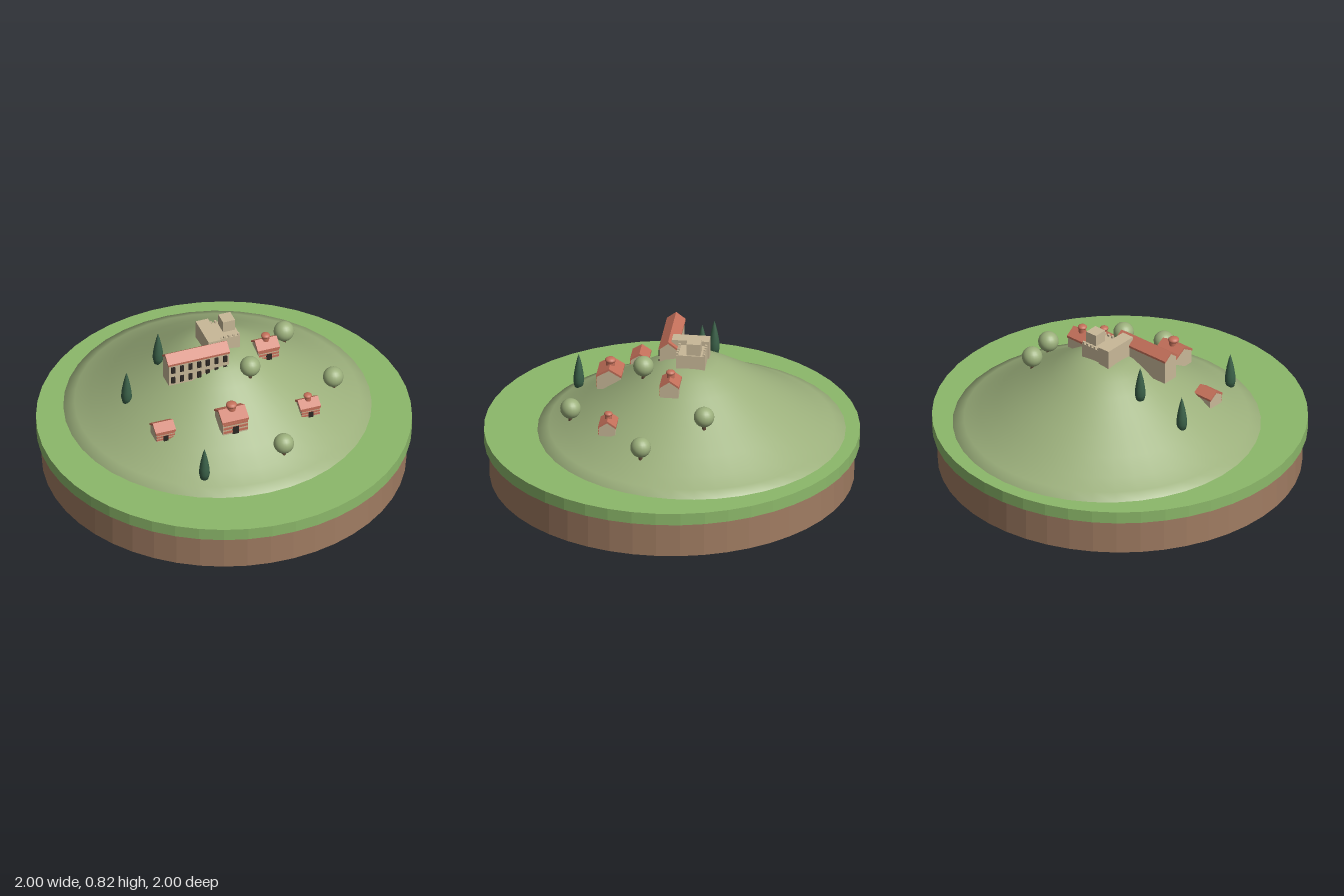
import * as THREE from 'three';

const mat = (name, color, flatShading = false) => {
  const m = new THREE.MeshStandardMaterial({ color, flatShading });
  m.name = name;
  return m;
};

export function createModel() {
  const soil = mat('soil', 0xa07c62, true);
  const grass = mat('grass', 0x8cb86a, true);
  const hillGreen = mat('hillGreen', 0x9cb07c);
  const stone = mat('stone', 0xc8b898);
  const terracotta = mat('terracotta', 0xc4705a);
  const dark = mat('dark', 0x2e2824);
  const cypressGreen = mat('cypressGreen', 0x3a6048);
  const bark = mat('bark', 0x5c4634);
  const model = new THREE.Group();
  const TURN = -0.3; // all buildings share one heading

  const add = (parent, name, geo, material, x = 0, y = 0, z = 0) => {
    const m = new THREE.Mesh(geo, material);
    m.name = name;
    m.position.set(x, y, z);
    parent.add(m);
    return m;
  };
  const box = (parent, name, material, w, h, d, x, y, z) =>
    add(parent, name, new THREE.BoxGeometry(w, h, d), material, x, y, z);
  const group = (name, x, y, z, turn = 0) => {
    const g = new THREE.Group();
    g.name = name;
    g.position.set(x, y, z);
    g.rotation.y = turn;
    model.add(g);
    return g;
  };
  // Prism along local x from a (z, y) outline
  const prism = (pts, length) => {
    const shape = new THREE.Shape(pts.map(([z, y]) => new THREE.Vector2(-z, y)));
    const geo = new THREE.ExtrudeGeometry(shape, { depth: length, bevelEnabled: false });
    geo.translate(0, 0, -length / 2);
    geo.rotateY(Math.PI / 2);
    return geo;
  };
  // Gabled walls and a thin pitched roof
  const gabled = (g, len, dep, eave, ridge) => {
    const d = dep / 2 - 0.004, e = dep / 2, t = 0.012;
    add(g, 'walls', prism([[-d, 0], [d, 0], [d, eave - t], [0, ridge - t], [-d, eave - t]], len - 0.01), stone);
    add(g, 'roof', prism([[-e, eave - t], [0, ridge - t], [e, eave - t], [e, eave], [0, ridge], [-e, eave]], len), terracotta);
  };

  // Ground disc
  add(model, 'soilBase', new THREE.CylinderGeometry(0.97, 0.97, 0.2, 48), soil, 0, 0.1, 0);
  add(model, 'grassRim', new THREE.CylinderGeometry(1, 1, 0.068, 48), grass, 0, 0.234, 0);

  // Hill, its foot sunk into the grass
  const profile = [[0.815, 0.23], [0.82, 0.268], [0.76, 0.295], [0.68, 0.335], [0.58, 0.4], [0.48, 0.465],
    [0.38, 0.53], [0.29, 0.59], [0.21, 0.64], [0.14, 0.672], [0.08, 0.684], [0, 0.686]];
  add(model, 'hill', new THREE.LatheGeometry(profile.map(([r, y]) => new THREE.Vector2(r, y)), 40),
    hillGreen, 0.033, 0, -0.1);

  // Long hall with two rows of windows
  const hall = group('longHall', -0.165, 0.604, -0.03, TURN);
  gabled(hall, 0.35, 0.1, 0.14, 0.178);
  for (const y of [0.035, 0.1])
    for (let i = 0; i < 7; i++)
      box(hall, 'hallWindow', dark, 0.021, 0.037, 0.009, -0.147 + i * 0.049, y, 0.05);

  // Castle: wing, courtyard block, tower and battlements
  const castle = group('castle', 0.035, 0.66, -0.09, TURN);
  box(castle, 'castleWing', stone, 0.07, 0.122, 0.2, -0.06, 0.061, 0);
  box(castle, 'castleBlock', stone, 0.125, 0.095, 0.155, 0.035, 0.0475, -0.015);
  box(castle, 'castleTower', stone, 0.068, 0.16, 0.075, 0.055, 0.08, -0.03);
  for (let i = 0; i < 5; i++) {
    box(castle, 'frontMerlon', stone, 0.012, 0.014, 0.012, -0.015 + i * 0.026, 0.1, 0.056);
    box(castle, 'backMerlon', stone, 0.012, 0.014, 0.012, -0.015 + i * 0.026, 0.1, -0.086);
  }

  // Striped houses: x, base y, z, length, depth, eave, ridge, has lantern
  const houses = [
    [-0.18, 0.465, 0.3, 0.15, 0.135, 0.085, 0.125, true],
    [0.24, 0.6, 0.05, 0.125, 0.105, 0.07, 0.107, true],
    [0.262, 0.41, 0.39, 0.115, 0.095, 0.06, 0.092, true],
    [-0.475, 0.41, 0.085, 0.115, 0.1, 0.06, 0.092, false],
  ];
  for (const [x, y, z, len, dep, eave, ridge, lantern] of houses) {
    const h = group('house', x, y, z, TURN);
    gabled(h, len, dep, eave, ridge);
    for (let i = 0; i < 3; i++)
      box(h, 'wallStripe', terracotta, len - 0.012, eave * 0.15, 0.006, 0, eave * (0.2 + i * 0.28), dep / 2 - 0.003);
    box(h, 'door', dark, len * 0.23, eave * 0.55, 0.009, 0, eave * 0.275, dep / 2 - 0.001);
    if (lantern) {
      const r = len * 0.2;
      add(h, 'lanternDrum', new THREE.CylinderGeometry(r * 0.8, r * 0.8, 0.03, 16), terracotta, 0, ridge, 0);
      add(h, 'lanternDome', new THREE.SphereGeometry(r, 16, 10), terracotta, 0, ridge + 0.017, 0).scale.y = 0.55;
    }
  }

  // Round trees
  for (const [x, y, z] of [[0.47, 0.562, -0.09], [0.53, 0.443, 0.263], [0.05, 0.675, 0.163], [-0.017, 0.422, 0.545]]) {
    const t = group('roundTree', x, y, z);
    add(t, 'treeCrown', new THREE.SphereGeometry(0.055, 20, 14), hillGreen);
    add(t, 'treeTrunk', new THREE.CylinderGeometry(0.009, 0.011, 0.05, 8), bark, 0, -0.05, 0);
  }

  // Cypresses
  const spindle = [[0, 0], [0.022, 0.012], [0.029, 0.045], [0.027, 0.08], [0.019, 0.13], [0.009, 0.175], [0, 0.205]];
  for (const [x, y, z] of [[-0.465, 0.418, -0.245], [-0.235, 0.558, -0.27], [-0.455, 0.308, 0.423]])
    add(model, 'cypress', new THREE.LatheGeometry(spindle.map(([r, h]) => new THREE.Vector2(r, h)), 14),
      cypressGreen, x, y, z);

  return model;
}
